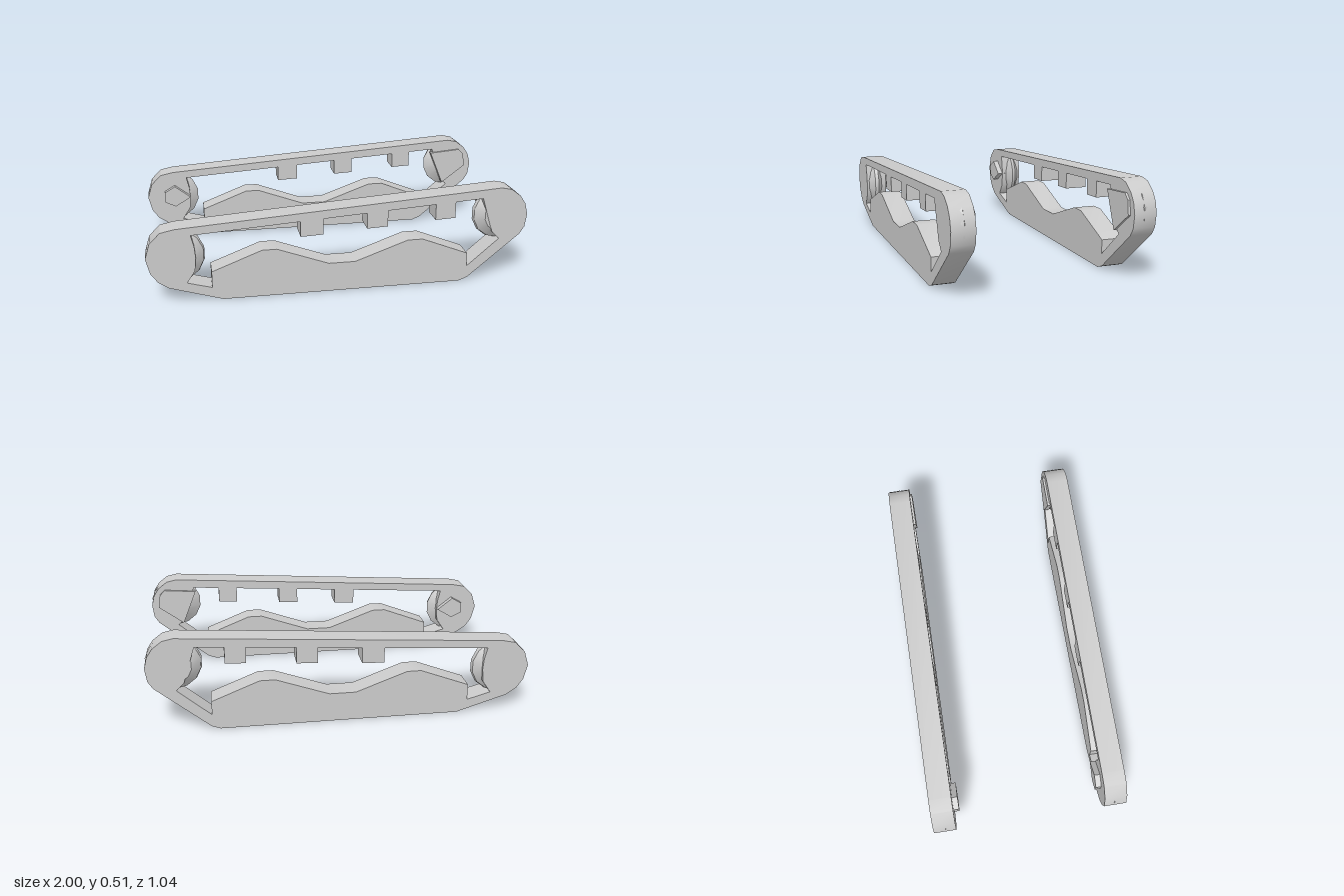
import * as THREE from 'three';
import { toCreasedNormals } from 'three/addons/utils/BufferGeometryUtils.js';

const INNER = 0.4, OUTER = 0.52;
const material = new THREE.MeshStandardMaterial({ color: 0xcccccc });
const toPoints = (list) => list.map(([x, y]) => new THREE.Vector2(x, y));

// Outer run of the belt, anticlockwise from the bottom
const beltOutline = [
  [-0.62, 0], [0.64, 0], [0.685, 0.017], [0.965, 0.25], [0.99, 0.29], [1, 0.36], [0.985, 0.42],
  [0.955, 0.465], [0.905, 0.503], [0.85, 0.515], [-0.85, 0.4], [-0.92, 0.385], [-0.975, 0.33],
  [-1, 0.25], [-0.98, 0.17], [-0.945, 0.12], [-0.89, 0.083],
];

// Opening: wavy road-wheel skirt below, upper belt with three guide blocks above
const skirt = [
  [-0.8, 0.105], [-0.675, 0.07], [-0.675, 0.157], [-0.415, 0.257], [-0.34, 0.257], [-0.07, 0.157],
  [0.07, 0.157], [0.35, 0.257], [0.43, 0.257], [0.68, 0.157], [0.68, 0.083],
];
const upperY = (x) => 0.363 + (x + 0.77) * 0.065;
const guides = [[0.495, 0.602, 0.36], [0.13, 0.24, 0.337], [-0.217, -0.1, 0.316]];
const opening = [...skirt, [0.85, 0.23], [0.81, 0.27], [0.755, 0.445], [0.75, upperY(0.75)]];
for (const [x0, x1, y] of guides) {
  opening.push([x1, upperY(x1)], [x1, y + 0.005], [x0, y], [x0, upperY(x0)]);
}
opening.push([-0.77, upperY(-0.77)], [-0.755, 0.3], [-0.75, 0.24], [-0.757, 0.17]);

// Hub plates standing proud of the inner face
const rearPlate = [[-0.9, 0.225], [-0.84, 0.195], [-0.75, 0.25], [-0.84, 0.32], [-0.9, 0.285]];
const frontPlate = [[0.82, 0.245], [0.96, 0.35], [0.95, 0.425], [0.92, 0.455], [0.74, 0.44]];

// Extrudes a side profile between two distances from the centre line
function slab(name, outline, near, far, side, hole) {
  const shape = new THREE.Shape(toPoints(outline));
  if (hole) shape.holes.push(new THREE.Path(toPoints(hole)));
  const geometry = new THREE.ExtrudeGeometry(shape, { depth: far - near, bevelEnabled: false });
  const mesh = new THREE.Mesh(toCreasedNormals(geometry, 0.5), material);
  mesh.name = name;
  mesh.position.z = side > 0 ? near : -far;
  return mesh;
}

// Double-tapered wheel bulging into the opening
function wheel(name, x, y, radius, side) {
  const profile = toPoints([
    [0, 0.402], [0.06, 0.402], [radius, 0.455], [radius * 0.96, 0.475], [0.09, 0.515], [0, 0.515],
  ]);
  const geometry = new THREE.LatheGeometry(profile, 14);
  const mesh = new THREE.Mesh(toCreasedNormals(geometry, 0.5), material);
  mesh.name = name;
  mesh.rotation.x = side * Math.PI / 2;
  mesh.position.set(x, y, 0);
  return mesh;
}

export function createModel() {
  const model = new THREE.Group();
  model.name = 'trackPair';
  for (const side of [1, -1]) {
    const track = new THREE.Group();
    track.name = side > 0 ? 'frontTrack' : 'backTrack';
    track.add(
      slab('trackBelt', beltOutline, INNER, OUTER, side, opening),
      wheel('lowWheel', -0.85, 0.24, 0.15, side),
      wheel('highWheel', 0.857, 0.36, 0.144, side),
      slab('lowHubPlate', rearPlate, 0.37, 0.42, side),
      slab('highHubPlate', frontPlate, 0.388, 0.42, side),
    );
    model.add(track);
  }
  return model;
}
